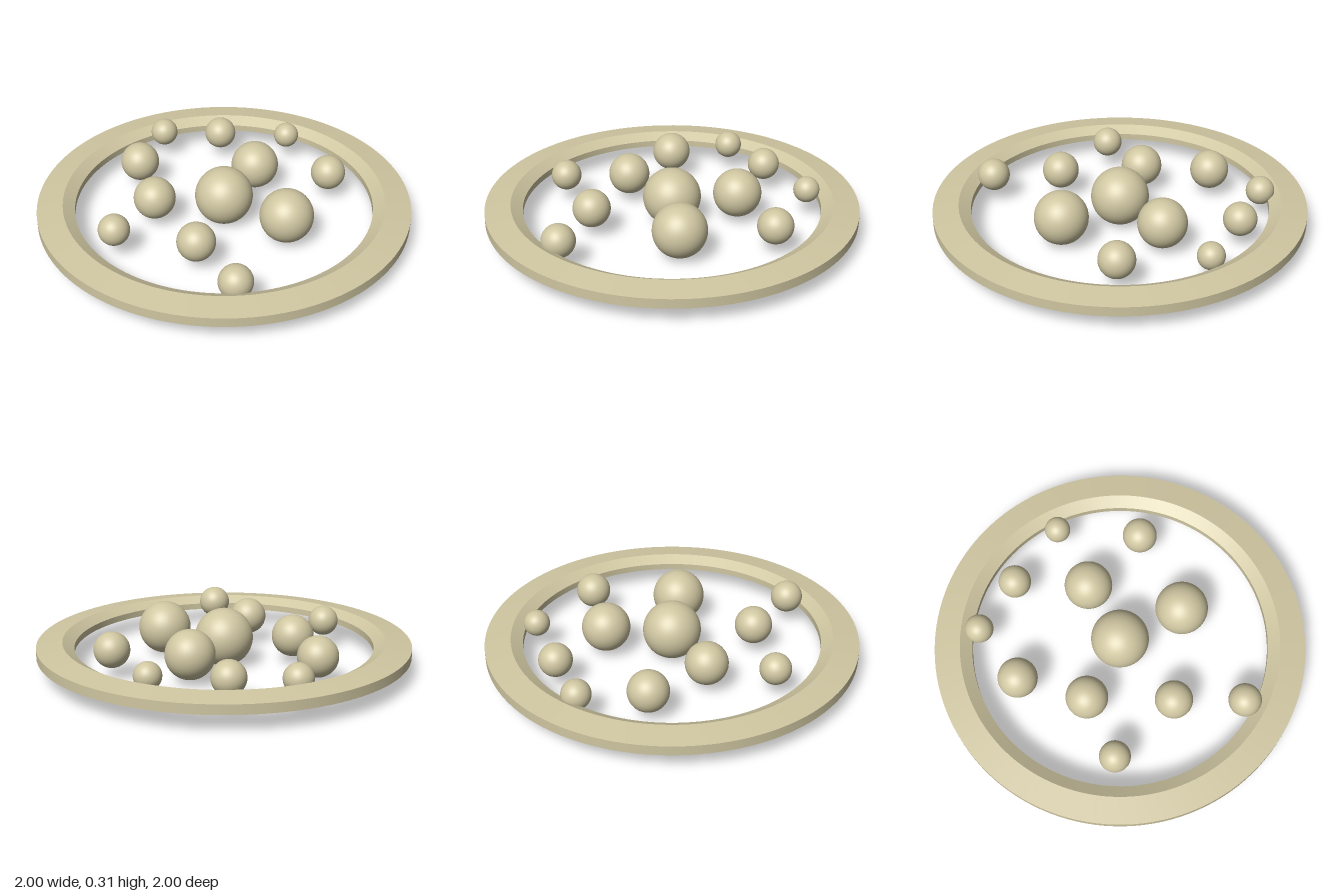
import * as THREE from 'three';
import { toCreasedNormals } from 'three/addons/utils/BufferGeometryUtils.js';

export function createModel() {
  const model = new THREE.Group();
  model.name = 'ringWithBalls';
  const sand = new THREE.MeshStandardMaterial({ color: 0xcfc6a1 });
  sand.name = 'sand';

  // Flat ring: sloped top, bevelled inner lip, short inner wall, flat underside
  const profile = [
    [1, 0.095], [1, 0.146], [0.862, 0.165], [0.8, 0.13], [0.8, 0.095], [1, 0.095],
  ].map(([r, y]) => new THREE.Vector2(r, y));
  const ring = new THREE.Mesh(
    toCreasedNormals(new THREE.LatheGeometry(profile, 128), 0.3), sand);
  ring.name = 'ring';
  model.add(ring);

  // Balls of decreasing size, all centred on one level: x, z, radius
  const balls = new THREE.Group();
  balls.name = 'balls';
  [
    [0, 0, 0.156],
    [0.339, 0.172, 0.143],
    [0.155, -0.322, 0.131],
    [-0.37, 0.047, 0.113],
    [-0.495, -0.317, 0.107],
    [-0.115, 0.43, 0.101],
    [0.566, -0.264, 0.095],
    [-0.061, -0.666, 0.089],
    [0.1, 0.738, 0.088],
    [-0.545, 0.353, 0.083],
    [-0.393, -0.656, 0.077],
    [0.329, -0.662, 0.071],
  ].forEach(([x, z, r], i) => {
    const ball = new THREE.Mesh(new THREE.SphereGeometry(r, 48, 32), sand);
    ball.name = `ball${i + 1}`;
    ball.position.set(x, 0.157, z);
    balls.add(ball);
  });
  model.add(balls);

  return model;
}
